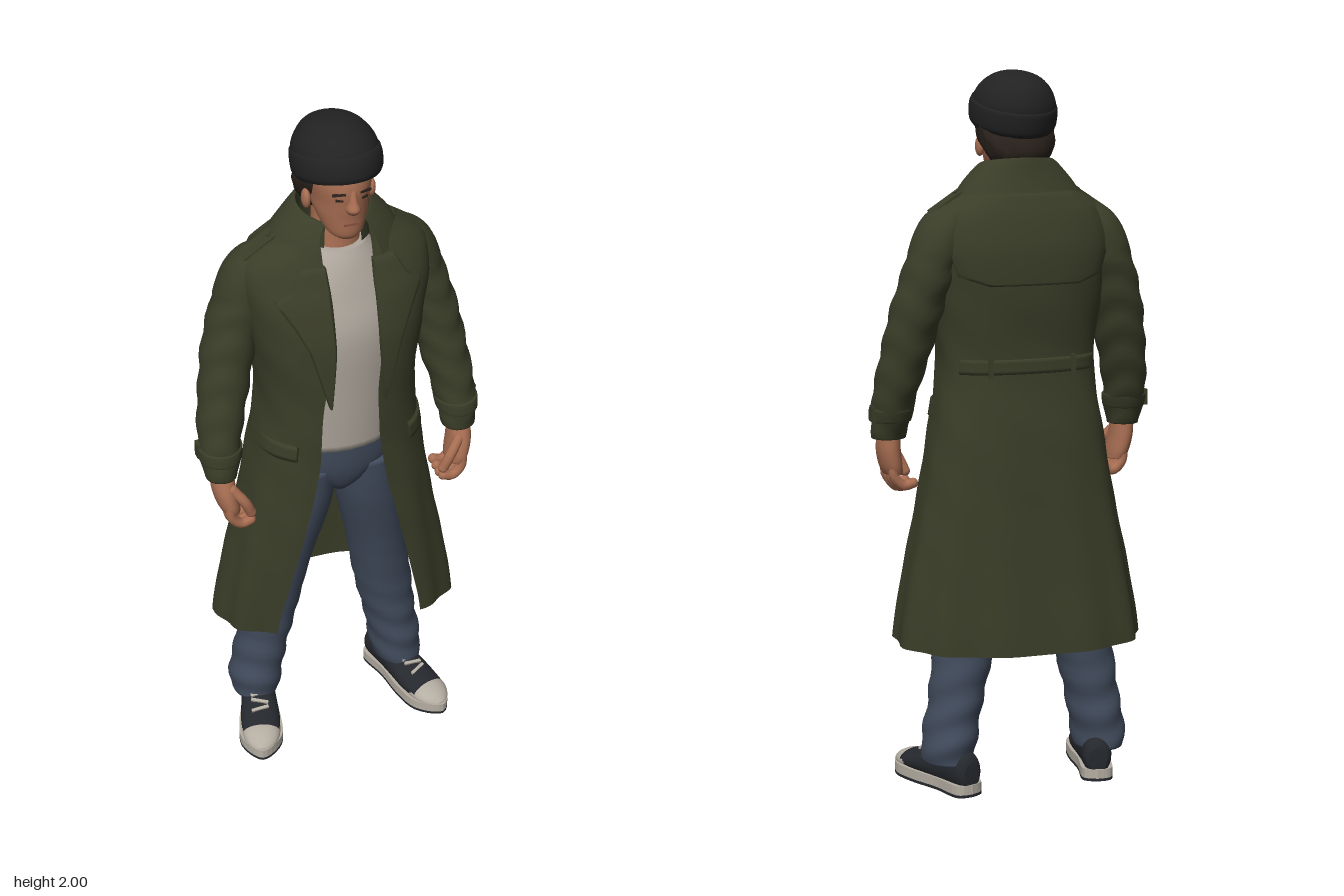
import * as THREE from 'three';

const mat = (name, color, side = THREE.FrontSide) => {
  const m = new THREE.MeshStandardMaterial({ color, side });
  m.name = name;
  return m;
};
const spow = (v, e) => Math.sign(v) * Math.abs(v) ** e;
const clamp = THREE.MathUtils.clamp;

// Smooth (Catmull-Rom) lookup in a table of rows
function sample(rows, t) {
  const n = rows.length - 1, i = clamp(Math.floor(t), 0, n - 1), f = t - i;
  const r = k => rows[clamp(k, 0, n)];
  return rows[i].map((b, k) => {
    const a = r(i - 1)[k], c = r(i + 1)[k], d = r(i + 2)[k];
    return b + 0.5 * f * (c - a + f * (2 * a - 5 * b + 4 * c - d + f * (3 * (b - c) + d - a)));
  });
}

// Surface from a function of u and v, optionally joined round in u
function grid(nu, nv, fn, closed = false) {
  const pos = [], idx = [], cols = closed ? nu : nu + 1;
  for (let j = 0; j <= nv; j++) for (let i = 0; i < cols; i++) pos.push(...fn(i / nu, j / nv));
  for (let j = 0; j < nv; j++) for (let i = 0; i < nu; i++) {
    const a = j * cols + i, b = j * cols + (i + 1) % cols;
    idx.push(a, b, b + cols, a, b + cols, a + cols);
  }
  const g = new THREE.BufferGeometry();
  g.setAttribute('position', new THREE.Float32BufferAttribute(pos, 3));
  g.setIndex(idx);
  g.computeVertexNormals();
  return g;
}

// Closed loft through sections [y, cx, cz, rx, rz], lowest first
function loft(sections, side = 1, wob = () => 0) {
  const n = sections.length - 1, nv = n * 6 + 2;
  return grid(28, nv, (u, v) => {
    const j = Math.round(v * nv), a = u * Math.PI * 2;
    const [y, cx, cz, rx, rz] = sample(sections, clamp((j - 1) / (nv - 2), 0, 1) * n);
    const k = j === 0 || j === nv ? 0 : 1 + wob(y, a);
    return [side * cx + rx * k * Math.sin(a), y, cz + rz * k * Math.cos(a)];
  }, true);
}

// Coat rows: y, half width, front z, back z, opening at +x, opening at -x
const COAT = [
  [0.41, 0.345, 0.175, 0.195, 0.205, 0.215], [0.6, 0.318, 0.185, 0.18, 0.17, 0.18],
  [0.8, 0.28, 0.193, 0.165, 0.125, 0.14], [1.0, 0.248, 0.192, 0.15, 0.08, 0.105],
  [1.2, 0.222, 0.197, 0.128, 0.06, 0.095], [1.4, 0.245, 0.194, 0.148, 0.068, 0.068],
  [1.52, 0.265, 0.164, 0.15, 0.072, 0.072], [1.61, 0.255, 0.125, 0.13, 0.07, 0.07],
  [1.655, 0.195, 0.108, 0.112, 0.07, 0.07], [1.7, 0.115, 0.095, 0.095, 0.07, 0.07]];
const P = 2.4;
function coatRow(y) {
  let i = 0;
  while (i < COAT.length - 2 && y > COAT[i + 1][0]) i++;
  return sample(COAT, i + (y - COAT[i][0]) / (COAT[i + 1][0] - COAT[i][0]));
}
const flare = y => clamp((1.1 - y) / 0.7, 0, 1);
function coatZ(x, y, back) {
  const [, w, zf, zb] = coatRow(y);
  const d = (1 - Math.min(1, Math.abs(x) / w) ** P) ** (1 / P);
  return (back ? -zb : zf) * d + 0.1 * flare(y) * x;
}

// Raised cloth panel on the coat; rows are [y, x from, x to], edges meet the coat
function panel(rows, lift, back = false) {
  const nv = (rows.length - 1) * 4 + 2;
  return grid(16, nv, (u, v) => {
    const j = Math.round(v * nv), i = Math.round(u * 16);
    const t = clamp((j - 1) / (nv - 2), 0, 1) * (rows.length - 1), k = Math.min(rows.length - 2, Math.floor(t));
    const [y, a, b] = rows[k].map((q, m) => q + (rows[k + 1][m] - q) * (t - k));
    const x = a + (b - a) * clamp((i - 1) / 14, 0, 1);
    const h = i === 0 || i === 16 || j === 0 || j === nv ? -0.004 : lift;
    return [x, y, coatZ(x, y, back) + (back ? -h : h)];
  });
}

export function createModel() {
  const root = new THREE.Group();
  root.name = 'manInLongCoat';
  const coat = mat('olive coat', 0x3a3d28, THREE.DoubleSide), denim = mat('blue denim', 0x414b5c);
  const cotton = mat('light cotton', 0xafa79d), skin = mat('skin', 0xa86e52);
  const wool = mat('black wool', 0x222222), hair = mat('dark hair', 0x2b231d);
  const canvas = mat('dark canvas', 0x25282d), rubber = mat('off-white rubber', 0xb4ada2);
  const lip = mat('lips', 0x8a5240);
  const add = (name, geo, m, parent = root) => {
    const mesh = new THREE.Mesh(geo, m);
    mesh.name = name;
    parent.add(mesh);
    return mesh;
  };
  const box = (name, size, at, m, rot = [0, 0, 0], parent = root) => {
    const b = add(name, new THREE.BoxGeometry(...size), m, parent);
    b.position.set(...at);
    b.rotation.set(...rot);
    return b;
  };

  // Head, neck and hair
  add('neck', loft([[1.58, 0, 0.01, 0.085, 0.08], [1.65, 0, 0.015, 0.066, 0.068], [1.76, 0, 0.01, 0.058, 0.065]]), skin);
  add('head', loft([[1.695, 0, 0.1, 0.028, 0.028], [1.712, 0, 0.082, 0.05, 0.058], [1.76, 0, 0.055, 0.07, 0.09],
    [1.8, 0, 0.038, 0.077, 0.113], [1.85, 0, 0.032, 0.085, 0.123], [1.91, 0, 0.03, 0.085, 0.11]]), skin);
  add('nose', loft([[1.783, 0, 0.145, 0.014, 0.018], [1.798, 0, 0.15, 0.019, 0.025], [1.82, 0, 0.149, 0.012, 0.017],
    [1.85, 0, 0.146, 0.009, 0.009]]), skin);
  box('mouth', [0.042, 0.006, 0.008], [0, 1.746, 0.141], lip);
  add('hair', loft([[1.735, 0, -0.022, 0.062, 0.05], [1.77, 0, -0.02, 0.09, 0.074], [1.81, 0, -0.005, 0.106, 0.088],
    [1.85, 0, 0.01, 0.11, 0.088], [1.89, 0, -0.005, 0.105, 0.09]], 1, (y, a) => 0.035 * Math.sin(9 * a + 60 * y)), hair);

  // Knitted hat, tilted back
  const hat = new THREE.Group();
  hat.name = 'beanie';
  hat.position.set(0, 1.86, 0.032);
  hat.rotation.x = -0.24;
  root.add(hat);
  add('hatDome', loft([[0.0, 0, 0, 0.106, 0.125], [0.05, 0, -0.004, 0.113, 0.134], [0.088, 0, -0.01, 0.1, 0.118],
    [0.118, 0, -0.018, 0.074, 0.088], [0.134, 0, -0.024, 0.042, 0.05], [0.139, 0, -0.026, 0.004, 0.005]]), wool, hat);
  add('hatCuff', loft([[-0.014, 0, 0, 0.109, 0.134], [0, 0, 0, 0.117, 0.141], [0.03, 0, 0, 0.119, 0.143],
    [0.052, 0, -0.002, 0.116, 0.139], [0.058, 0, -0.002, 0.108, 0.13]]), wool, hat);

  // Shirt and hips
  add('shirt', loft([[1.03, 0, 0.02, 0.17, 0.125], [1.2, 0, 0.03, 0.175, 0.13], [1.4, 0, 0.035, 0.19, 0.137],
    [1.52, 0, 0.025, 0.18, 0.12], [1.6, 0, 0.02, 0.12, 0.1], [1.645, 0, 0.022, 0.08, 0.075]],
    1, (y, a) => 0.008 * Math.sin(14 * a)), cotton);
  add('hips', loft([[0.85, 0, 0.01, 0.04, 0.07], [0.89, 0, 0.012, 0.09, 0.1], [0.96, 0, 0.015, 0.17, 0.116],
    [1.08, 0, 0.02, 0.165, 0.118]]), denim);

  // Coat body, open at the front
  add('coatBody', grid(84, 54, (u, v) => {
    const y0 = 0.41 + 1.29 * v, [, w, zf, zb, gl, gr] = coatRow(y0);
    const a0 = Math.asin((gl / w) ** (P / 2)), a1 = 2 * Math.PI - Math.asin((gr / w) ** (P / 2));
    const a = a0 + (a1 - a0) * u, s = Math.sin(a), c = Math.cos(a), h = flare(y0);
    const k = 1 + 0.022 * h * Math.sin(11 * a + 1.5 * y0) + 0.006 * (1 - h) * Math.sin(6 * a + 38 * y0);
    const x = w * k * spow(s, 2 / P);
    return [x, y0 + 0.012 * h * c, (c > 0 ? zf : zb) * k * spow(c, 2 / P) + 0.1 * h * x];
  }), coat);

  // Turned-down collar
  add('collar', grid(40, 16, (u, v) => {
    const a = 0.55 + u * (2 * Math.PI - 1.1), c = Math.cos(a), f = Math.sqrt((1 - c) / 2), b = Math.max(0, -c);
    const [rx, rz, y] = sample([[0.1, 0.092, 1.65], [0.096, 0.092, 1.705 + 0.045 * f], [0.106, 0.1 - 0.004 * b, 1.71 + 0.052 * f],
      [0.15, 0.122 - 0.016 * b, 1.665 + 0.052 * f], [0.183, 0.142 - 0.024 * b, 1.6 + 0.078 * f]], v * 4);
    return [rx * Math.sin(a), y, rz * c];
  }), coat);

  // Back cape, half belt and loops
  add('backCape', panel([[1.425, -0.13, 0.13], [1.45, -0.205, 0.205], [1.52, -0.23, 0.23], [1.62, -0.2, 0.2],
    [1.67, -0.13, 0.13]], 0.012, true), coat);
  add('halfBelt', panel([[1.18, -0.195, 0.195], [1.22, -0.195, 0.195]], 0.011, true), coat);
  for (const x of [-0.12, 0.12]) box('beltLoop', [0.014, 0.055, 0.01], [x, 1.2, coatZ(x, 1.2, true) - 0.011], coat);

  for (const s of [1, -1]) {
    const side = s > 0 ? 'left' : 'right';
    const part = new THREE.Group();
    part.name = side + 'Side';
    root.add(part);

    // Face details
    box('eye', [0.02, 0.006, 0.006], [s * 0.034, 1.822, 0.142], hair, [0, s * 0.32, 0], part);
    box('eyebrow', [0.036, 0.006, 0.006], [s * 0.036, 1.84, 0.144], hair, [0, s * 0.32, s * -0.08], part);
    const ear = add('ear', new THREE.SphereGeometry(1, 14, 10), skin, part);
    ear.scale.set(0.012, 0.028, 0.02);
    ear.position.set(s * 0.09, 1.79, 0.045);

    // Lapel, pocket flap and shoulder strap
    add('lapel', panel([[1.22, s * 0.075, s * 0.08], [1.4, s * 0.063, s * 0.13], [1.47, s * 0.063, s * 0.165],
      [1.535, s * 0.063, s * 0.205], [1.56, s * 0.063, s * 0.165], [1.62, s * 0.066, s * 0.13]], 0.012), coat, part);
    add('pocketFlap', panel([[1.045, s * 0.165, s * 0.24], [1.09, s * 0.16, s * 0.235]], 0.014), coat, part);
    box('shoulderStrap', [0.11, 0.012, 0.05], [s * 0.203, 1.646, -0.008], coat, [0, 0, s * -0.58], part);
    const button = add('strapButton', new THREE.CylinderGeometry(0.009, 0.009, 0.006, 12), coat, part);
    button.position.set(s * 0.176, 1.672, -0.008);
    button.rotation.z = s * -0.58;

    // Sleeve with creases, cuff strap and tab
    add('sleeve', loft([[0.99, 0.352, 0.07, 0.046, 0.048], [1.03, 0.35, 0.062, 0.053, 0.058], [1.12, 0.342, 0.038, 0.061, 0.07],
      [1.24, 0.318, 0.01, 0.069, 0.075], [1.36, 0.292, -0.013, 0.073, 0.08], [1.48, 0.256, -0.028, 0.073, 0.083],
      [1.56, 0.23, -0.027, 0.072, 0.08], [1.61, 0.21, -0.02, 0.058, 0.065], [1.64, 0.19, -0.015, 0.03, 0.035]], s,
      (y, a) => y < 1.5 ? 0.042 * Math.sin(66 * y + 1.8 * Math.sin(a * 2 + s)) : 0), coat, part);
    add('cuffStrap', loft([[1.04, 0.35, 0.06, 0.055, 0.06], [1.044, 0.35, 0.06, 0.059, 0.064],
      [1.074, 0.348, 0.053, 0.062, 0.068], [1.078, 0.348, 0.052, 0.056, 0.062]], s), coat, part);
    box('cuffTab', [0.012, 0.045, 0.028], [s * 0.405, 1.065, 0.04], coat, [0, 0, 0], part);

    // Hand with curled fingers
    add('palm', loft([[0.885, 0.335, 0.088, 0.026, 0.046], [0.91, 0.342, 0.086, 0.031, 0.053], [0.955, 0.35, 0.08, 0.033, 0.05],
      [1.01, 0.352, 0.07, 0.032, 0.036]], s), skin, part);
    const digit = (name, pts, r) => {
      const c = new THREE.CatmullRomCurve3(pts.map(([x, y, z]) => new THREE.Vector3(s * x, y, z)));
      add(name, new THREE.TubeGeometry(c, 10, r, 9), skin, part);
      for (const t of [0, 1]) add(name + 'End', new THREE.SphereGeometry(r, 10, 8), skin, part).position.copy(c.getPoint(t));
    };
    for (let i = 0; i < 4; i++) {
      const z = 0.05 + 0.025 * i, d = 0.006 * Math.abs(i - 2);
      digit('finger', [[0.345, 0.91, z], [0.342, 0.868 + d, z], [0.315, 0.842 + d, z], [0.288, 0.848 + d, z]], 0.0145);
    }
    digit('thumb', [[0.335, 0.96, 0.115], [0.305, 0.92, 0.13], [0.287, 0.88, 0.126]], 0.015);

    // Trouser leg, bunched above the shoe
    add('trouserLeg', loft([[0.085, 0.228, -0.06, 0.07, 0.086], [0.15, 0.223, -0.06, 0.077, 0.09], [0.25, 0.205, -0.058, 0.076, 0.086],
      [0.4, 0.178, -0.052, 0.085, 0.088], [0.6, 0.142, -0.03, 0.087, 0.095], [0.8, 0.103, 0, 0.094, 0.105],
      [0.95, 0.083, 0.014, 0.088, 0.108]], s,
      (y, a) => 0.045 * clamp((0.6 - y) * 3, 0.12, 1) * Math.sin(64 * y + 2.4 * Math.sin(a + s))), denim, part);

    // Canvas shoe, toes turned out
    const shoe = new THREE.Group();
    shoe.name = side + 'Shoe';
    shoe.position.set(s * 0.22, 0, -0.05);
    shoe.rotation.y = s * 0.28;
    part.add(shoe);
    const outline = new THREE.Shape(new THREE.SplineCurve([[0, -0.115], [0.042, -0.095], [0.046, 0], [0.062, 0.1], [0.058, 0.185],
      [0, 0.245], [-0.058, 0.185], [-0.062, 0.1], [-0.046, 0], [-0.042, -0.095], [0, -0.115]]
      .map(([x, z]) => new THREE.Vector2(x, -z))).getPoints(48));
    const slab = (name, y, h, m) => {
      const g = new THREE.ExtrudeGeometry(outline, { depth: h, bevelEnabled: false });
      add(name, g.rotateX(-Math.PI / 2), m, shoe).position.y = y;
    };
    slab('outsole', 0, 0.008, canvas);
    slab('sole', 0.008, 0.027, rubber);
    const along = (name, rows, m) => add(name, loft(rows).rotateX(Math.PI / 2), m, shoe);
    along('shoeUpper', [[-0.11, 0, -0.06, 0.025, 0.035], [-0.09, 0, -0.068, 0.04, 0.055], [-0.02, 0, -0.07, 0.046, 0.062],
      [0.05, 0, -0.06, 0.053, 0.05], [0.11, 0, -0.05, 0.058, 0.038], [0.17, 0, -0.042, 0.055, 0.03]], canvas);
    along('toeCap', [[0.148, 0, -0.042, 0.057, 0.033], [0.185, 0, -0.039, 0.053, 0.03], [0.217, 0, -0.034, 0.038, 0.022],
      [0.238, 0, -0.03, 0.014, 0.01]], rubber);
    for (let i = 0; i < 4; i++) {
      box('lace', [0.052, 0.008, 0.009], [0, 0.113 - 0.0085 * i, 0.045 + 0.024 * i], rubber, [0.35, i % 2 ? 0.25 : -0.25, 0], shoe);
    }
  }
  return root;
}
